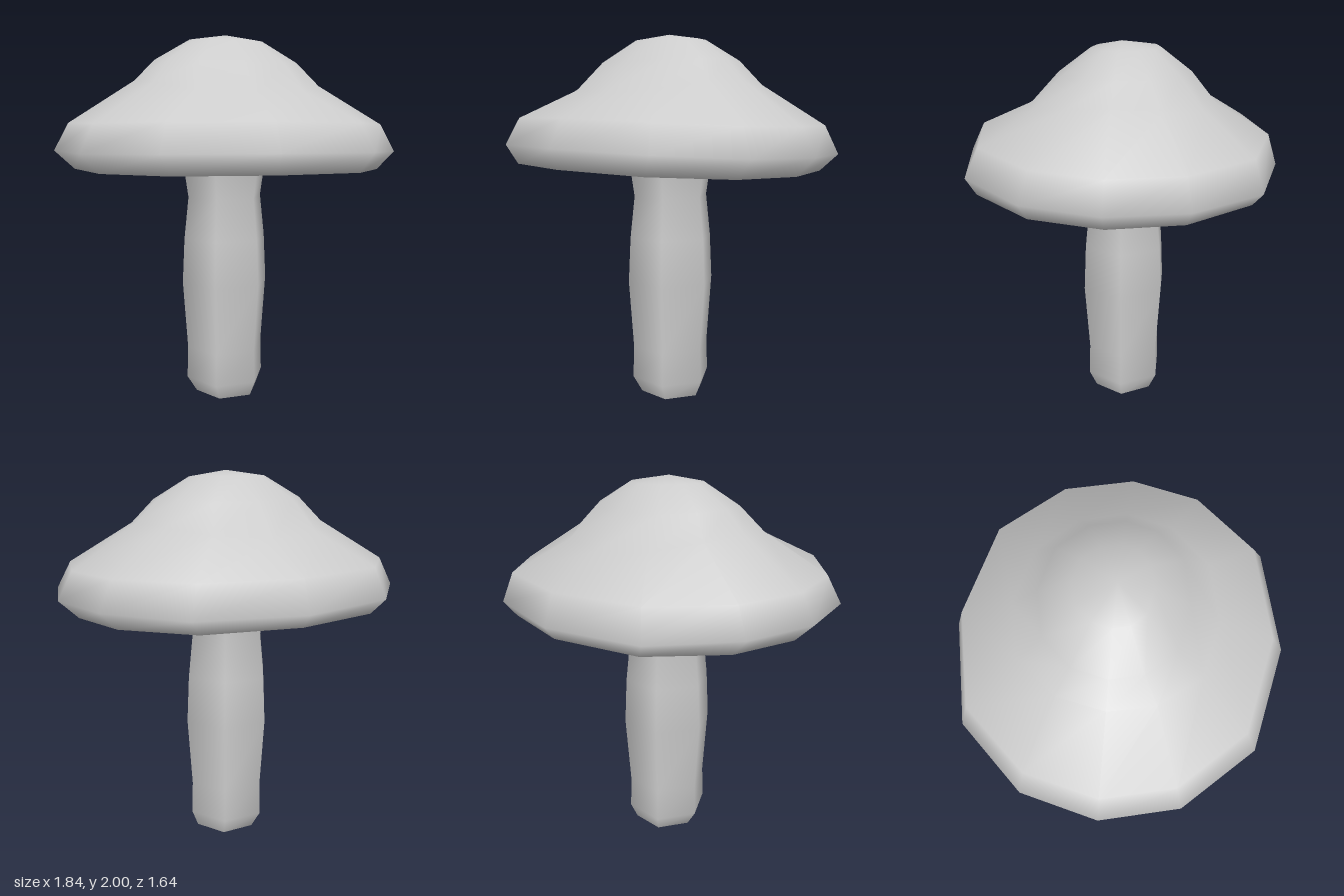
import * as THREE from 'three';

// Skins rings of points (listed top to bottom, anticlockwise from above),
// optionally closed by a single point at the top and at the bottom.
function loft(rings, top, bottom) {
  const n = rings[0].length;
  const points = rings.flat();
  const index = [];
  for (let i = 0; i < rings.length - 1; i++) {
    for (let j = 0; j < n; j++) {
      const k = (j + 1) % n;
      const a = i * n + j, b = i * n + k;
      index.push(a, a + n, b, b, a + n, b + n);
    }
  }
  if (top) {
    points.push(top);
    for (let j = 0; j < n; j++) index.push(points.length - 1, j, (j + 1) % n);
  }
  if (bottom) {
    points.push(bottom);
    const o = (rings.length - 1) * n;
    for (let j = 0; j < n; j++) index.push(points.length - 1, o + (j + 1) % n, o + j);
  }
  const g = new THREE.BufferGeometry();
  g.setAttribute('position', new THREE.Float32BufferAttribute(points.flat(), 3));
  g.setIndex(index);
  g.computeVertexNormals();
  return g;
}

// Twelve-sided cap ring: half width and height at the sides, then the
// reach and height at the front and at the back.
const quarter = [[0, 1], [0.57, 0.86], [0.9, 0.46], [1, 0]];
const outline = [
  ...quarter,
  ...quarter.slice(0, 3).reverse().map(([x, z]) => [x, -z]),
  ...quarter.slice(1).map(([x, z]) => [-x, -z]),
  ...quarter.slice(1, 3).reverse().map(([x, z]) => [-x, z]),
];
function capRing([rx, ySide, zFront, yFront, zBack, yBack]) {
  return outline.map(([x, z]) => {
    const reach = z > 0 ? zFront : zBack;
    const yEnd = z > 0 ? yFront : yBack;
    return [x * rx, ySide + (yEnd - ySide) * z * z - 0.012 * x * rx, z * reach];
  });
}

// Six-sided stem ring with corners on the x axis
function stemRing([r, y, cx = 0]) {
  return Array.from({ length: 6 }, (_, j) => {
    const a = (j + 0.5) * Math.PI / 3;
    return [cx + r * Math.sin(a), y, r * Math.cos(a) - 0.014];
  });
}

export function createModel() {
  const group = new THREE.Group();
  const material = new THREE.MeshStandardMaterial({ color: 0xcccccc, side: THREE.DoubleSide });
  const add = (name, geometry) => {
    const mesh = new THREE.Mesh(geometry, material);
    mesh.name = name;
    group.add(mesh);
  };

  // Domed cap, rolled rim and hollow underside
  add('cap', loft([
    [0.2, 1.97, 0.16, 1.965, 0.2, 1.97],
    [0.39, 1.86, 0.33, 1.84, 0.36, 1.85],
    [0.5, 1.75, 0.48, 1.68, 0.5, 1.68],
    [0.845, 1.53, 0.75, 1.56, 0.77, 1.53],
    [0.92, 1.39, 0.82, 1.42, 0.82, 1.37],
    [0.82, 1.295, 0.78, 1.32, 0.77, 1.305],
    [0.52, 1.45, 0.47, 1.45, 0.48, 1.45],
    [0.33, 1.56, 0.29, 1.56, 0.31, 1.56],
  ].map(capRing), [0, 2, 0], [0, 1.57, 0]));

  // Stem, swollen in the middle and flaring into the cap
  const stem = [
    [0.32, 1.565], [0.245, 1.46], [0.235, 1.3], [0.21, 1.13], [0.235, 0.9],
    [0.247, 0.65], [0.22, 0.27], [0.225, 0.09], [0.18, 0, 0.01],
  ].map(stemRing);
  add('stem', loft(stem));

  // Flat foot
  add('stemBase', loft(stem.slice(-1), null, [0.01, 0, -0.014]));

  return group;
}
